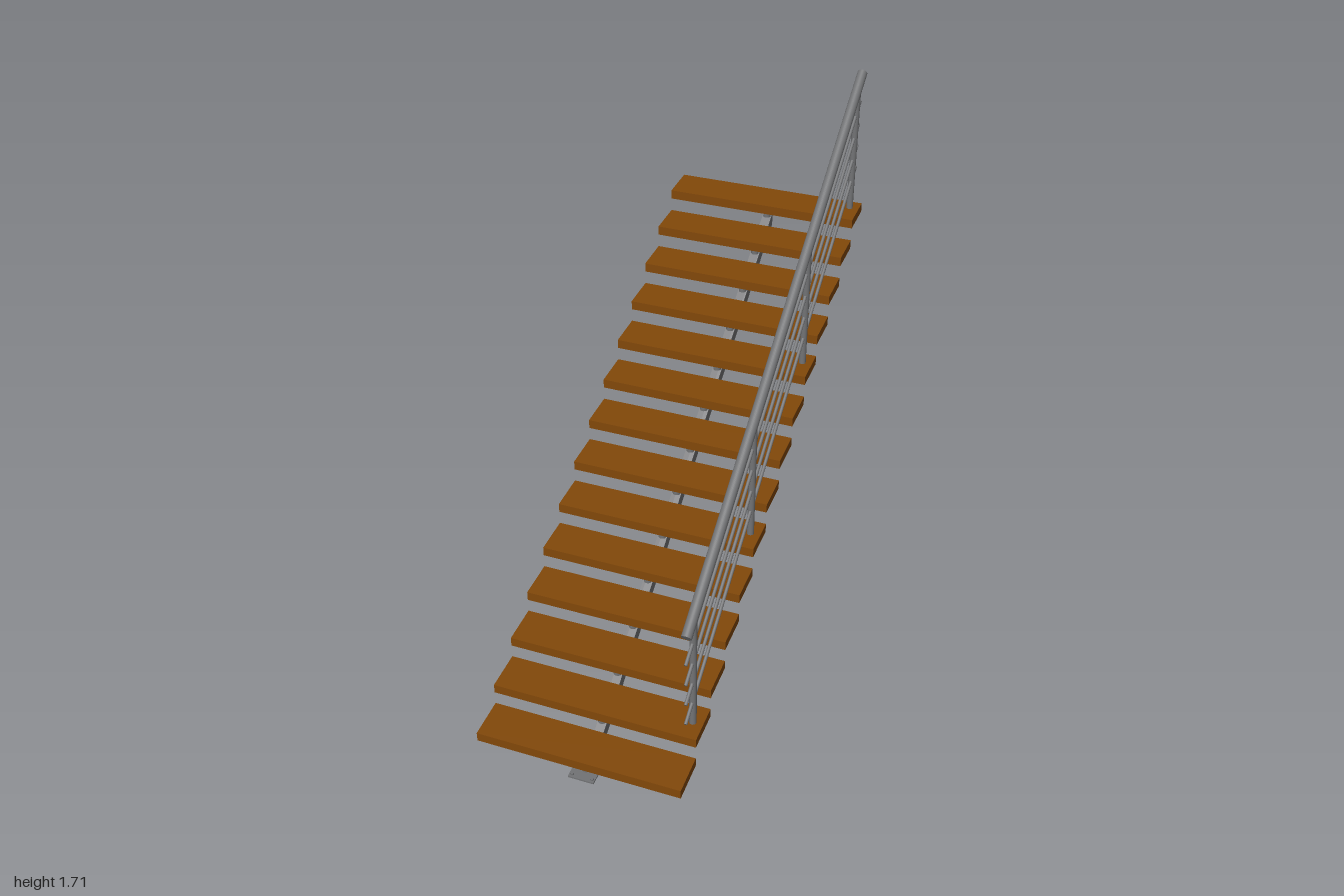
import * as THREE from 'three';

const STEPS = 14;
const RAIL_X = 0.317;

export function createModel() {
  const model = new THREE.Group();
  model.name = 'staircase';
  const wood = new THREE.MeshStandardMaterial({ name: 'brown wood', color: 0x824809 });
  const steel = new THREE.MeshStandardMaterial({ name: 'grey steel', color: 0x727375 });

  const add = (name, geometry, material, x = 0, y = 0, z = 0) => {
    const mesh = new THREE.Mesh(geometry, material);
    mesh.name = name;
    mesh.position.set(x, y, z);
    model.add(mesh);
    return mesh;
  };

  // Round bar between two points
  const bar = (name, a, b, radius, sides = 20) => {
    const from = new THREE.Vector3(...a);
    const dir = new THREE.Vector3(...b).sub(from);
    const mesh = add(name, new THREE.CylinderGeometry(radius, radius, dir.length(), sides), steel);
    mesh.position.copy(from).addScaledVector(dir, 0.5);
    mesh.quaternion.setFromUnitVectors(new THREE.Vector3(0, 1, 0), dir.normalize());
    return mesh;
  };

  const treadY = (i) => 0.097 + 0.0828 * i;
  const supportZ = (i) => 0.932 - 0.1437 * i;
  const beamY = (z) => 0.025 + 0.587 * (0.892 - z);
  const railY = (z) => 0.622 + 0.584 * (0.852 - z);

  // Treads, each on a short stalk
  const treadGeometry = new THREE.BoxGeometry(0.704, 0.034, 0.141);
  for (let i = 0; i < STEPS; i++) {
    const z = supportZ(i);
    add('tread', treadGeometry, wood, 0, treadY(i), 0.929 - 0.1417 * i);
    bar('treadStalk', [0, Math.max(0.003, beamY(z)), z], [0, treadY(i) - 0.015, z], 0.014);
  }

  // Central beam, cut level at the floor and plumb at the top
  const profile = new THREE.Shape([
    new THREE.Vector2(-0.935, 0),
    new THREE.Vector2(-0.85, 0),
    new THREE.Vector2(0.953, 1.058),
    new THREE.Vector2(0.953, 1.108),
  ]);
  const beamGeometry = new THREE.ExtrudeGeometry(profile, { depth: 0.034, bevelEnabled: false });
  beamGeometry.translate(0, 0, -0.017).rotateY(Math.PI / 2);
  add('beam', beamGeometry, steel);

  // Floor plate with bolts
  add('basePlate', new THREE.BoxGeometry(0.09, 0.006, 0.1), steel, 0, 0.003, 0.928);
  for (const x of [-0.035, 0.035]) {
    for (const z of [0.89, 0.966]) bar('bolt', [x, 0.004, z], [x, 0.011, z], 0.006, 12);
  }

  // Railing posts on every fourth tread
  for (let i = 1; i < STEPS; i += 4) {
    const z = supportZ(i);
    bar('railingPost', [RAIL_X, treadY(i), z], [RAIL_X, railY(z), z], 0.012);
  }

  // Sloping handrail and the thin rods below it
  bar('handrail', [RAIL_X, railY(0.852), 0.852], [RAIL_X, railY(-0.99), -0.99], 0.0175, 28);
  for (let i = 0; i < 4; i++) {
    const drop = 0.106 + 0.0855 * i;
    bar('railingRod', [RAIL_X, railY(0.858) - drop, 0.858], [RAIL_X, railY(-0.988) - drop, -0.988], 0.006, 12);
  }

  return model;
}
